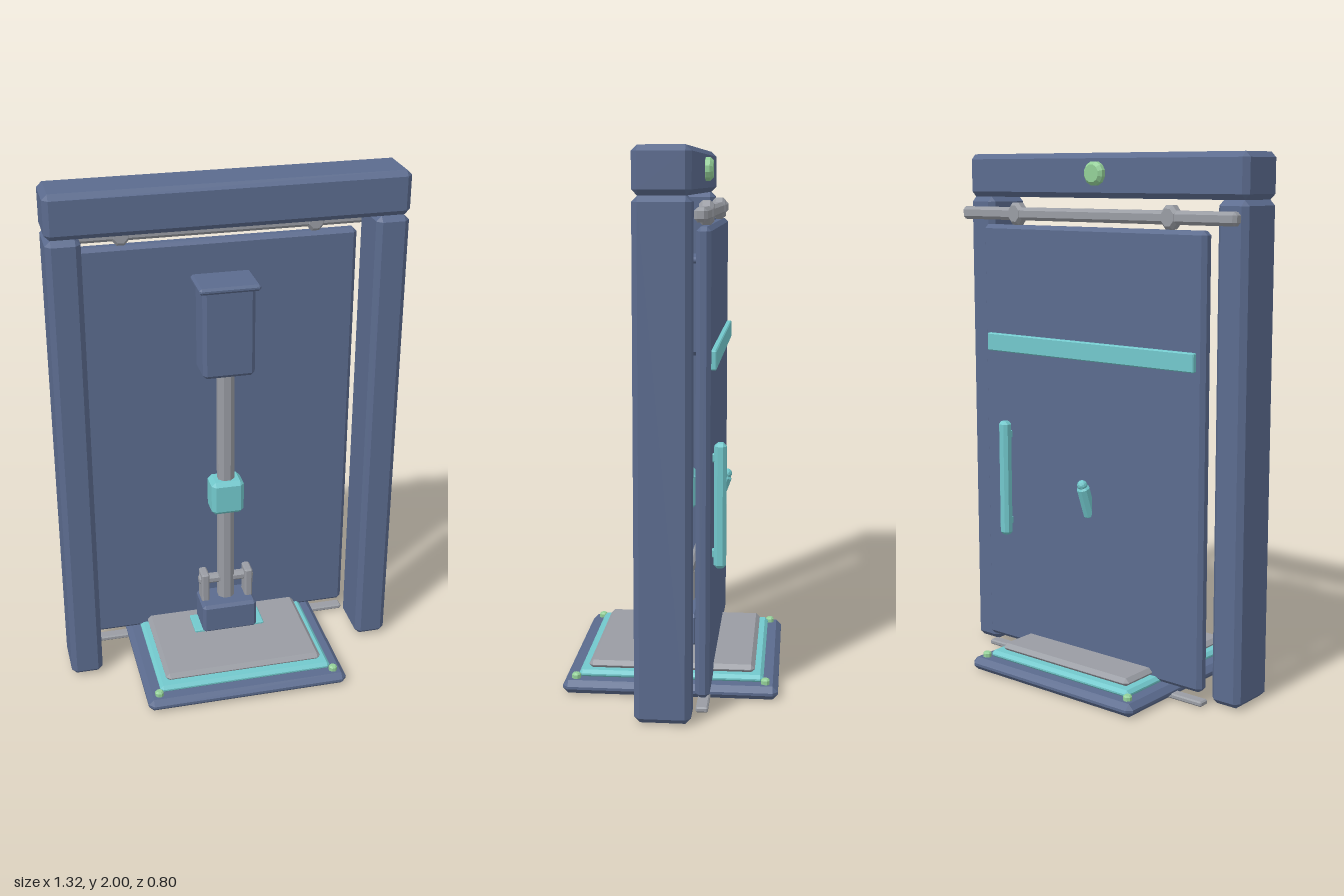
import * as THREE from 'three';
import { ConvexGeometry } from 'three/addons/geometries/ConvexGeometry.js';

const paint = (name, hex) => {
  const m = new THREE.MeshStandardMaterial({ color: hex, flatShading: true });
  m.name = name;
  return m;
};

// Box with chamfered edges: three points around each corner
function chamferBox(w, h, d, c) {
  const pts = [];
  for (const sx of [-1, 1]) for (const sy of [-1, 1]) for (const sz of [-1, 1]) {
    const x = w / 2, y = h / 2, z = d / 2;
    pts.push(new THREE.Vector3(sx * x, sy * (y - c), sz * (z - c)));
    pts.push(new THREE.Vector3(sx * (x - c), sy * y, sz * (z - c)));
    pts.push(new THREE.Vector3(sx * (x - c), sy * (y - c), sz * z));
  }
  return new ConvexGeometry(pts);
}

// Turned part with chamfered rims, along y and centred
function chamferRod(r, len, c, sides) {
  const h = len / 2;
  const profile = [[0, -h], [r - c, -h], [r, -h + c], [r, h - c], [r - c, h], [0, h]];
  const g = new THREE.LatheGeometry(profile.map(([x, y]) => new THREE.Vector2(x, y)), sides);
  return g.rotateY(Math.PI / sides);
}

export function createModel() {
  const group = new THREE.Group();
  const navy = paint('slate blue', 0x5b6b8e);
  const teal = paint('teal', 0x72c8cc);
  const grey = paint('grey metal', 0x999ca3);
  const green = paint('soft green', 0x93d098);

  const add = (name, geometry, material, x = 0, y = 0, z = 0) => {
    const mesh = new THREE.Mesh(geometry, material);
    mesh.name = name;
    mesh.position.set(x, y, z);
    group.add(mesh);
    return mesh;
  };
  // Chamfered block given by its extents
  const block = (name, mat, [x0, x1], [y0, y1], [z0, z1], c) =>
    add(name, chamferBox(x1 - x0, y1 - y0, z1 - z0, c), mat,
      (x0 + x1) / 2, (y0 + y1) / 2, (z0 + z1) / 2);

  // Stepped base
  block('baseSlab', navy, [-0.4, 0.4], [0, 0.05], [-0.4, 0.4], 0.02);
  block('baseTrim', teal, [-0.345, 0.345], [0.045, 0.075], [-0.345, 0.345], 0.012);
  block('basePlate', grey, [-0.315, 0.315], [0.07, 0.102], [-0.312, 0.312], 0.015);
  for (const x of [-0.353, 0.353]) for (const z of [-0.353, 0.353]) {
    add('baseBolt', chamferRod(0.017, 0.03, 0.006, 8), green, x, 0.055, z);
  }

  // Door frame
  for (const s of [-1, 1]) {
    add('framePost', chamferBox(0.125, 1.83, 0.2, 0.02), navy, s * 0.5985, 0.92, 0);
  }
  block('frameBeam', navy, [-0.662, 0.662], [1.835, 2], [-0.1, 0.1], 0.02);
  const button = add('beamButton', chamferRod(0.045, 0.04, 0.012, 12), green, 0, 1.925, -0.11);
  button.rotation.x = Math.PI / 2;

  // Sliding door with its rails and rollers
  block('doorPanel', navy, [-0.532, 0.532], [0.055, 1.73], [-0.157, -0.105], 0.015);
  block('upperRail', grey, [-0.652, 0.652], [1.748, 1.797], [-0.153, -0.107], 0.012);
  block('lowerRail', grey, [-0.535, 0.535], [0.003, 0.023], [-0.152, -0.108], 0.005);
  for (const x of [-0.368, 0.368]) {
    const roller = add('roller', chamferRod(0.046, 0.052, 0.013, 8), grey, x, 1.773, -0.13);
    roller.rotation.x = Math.PI / 2;
    roller.scale.x = 0.85;
  }
  block('doorStripe', teal, [-0.5, 0.5], [1.237, 1.307], [-0.175, -0.15], 0.004);
  block('doorHandle', teal, [0.377, 0.423], [0.505, 0.965], [-0.207, -0.163], 0.012);
  for (const y of [0.56, 0.91]) block('handleMount', teal, [0.388, 0.412], [y - 0.015, y + 0.015], [-0.17, -0.15], 0.003);

  // Column with foot, collar and head
  block('footPlate', teal, [-0.145, 0.145], [0.098, 0.112], [-0.06, 0.055], 0.004);
  block('columnFoot', navy, [-0.112, 0.112], [0.098, 0.225], [-0.08, 0.065], 0.012);
  add('column', chamferRod(0.035, 1.06, 0.005, 8), grey, 0, 0.74, -0.02);
  block('columnCollar', teal, [-0.065, 0.065], [0.632, 0.775], [-0.07, 0.035], 0.016);
  block('columnHead', navy, [-0.1, 0.1], [1.235, 1.595], [-0.09, 0.05], 0.014);
  block('headCap', navy, [-0.116, 0.116], [1.58, 1.605], [-0.103, 0.07], 0.009);

  // Hinge brackets and pin
  for (const s of [-1, 1]) {
    add('hingeBracket', chamferBox(0.032, 0.13, 0.07, 0.006), grey, s * 0.09, 0.282, -0.02);
  }
  const pin = add('hingePin', chamferRod(0.021, 0.225, 0.006, 8), grey, 0, 0.31, -0.02);
  pin.rotation.z = Math.PI / 2;

  // Lever leaning back through the door, with a grip on the far side
  const foot = new THREE.Vector3(0, 0.31, -0.02);
  const tip = new THREE.Vector3(0, 0.765, -0.187);
  const dir = tip.clone().sub(foot);
  const length = dir.length();
  const turn = new THREE.Quaternion().setFromUnitVectors(new THREE.Vector3(0, 1, 0), dir.normalize());
  const onLever = (name, geometry, mat, t) => {
    const p = foot.clone().lerp(tip, t);
    add(name, geometry, mat, p.x, p.y, p.z).quaternion.copy(turn);
  };
  onLever('lever', chamferRod(0.018, length * 0.75, 0.004, 8), grey, 0.375);
  onLever('leverGrip', chamferRod(0.026, length * 0.27, 0.008, 8), teal, 0.85);
  onLever('leverKnob', new THREE.IcosahedronGeometry(0.02, 1), teal, 1);

  return group;
}
